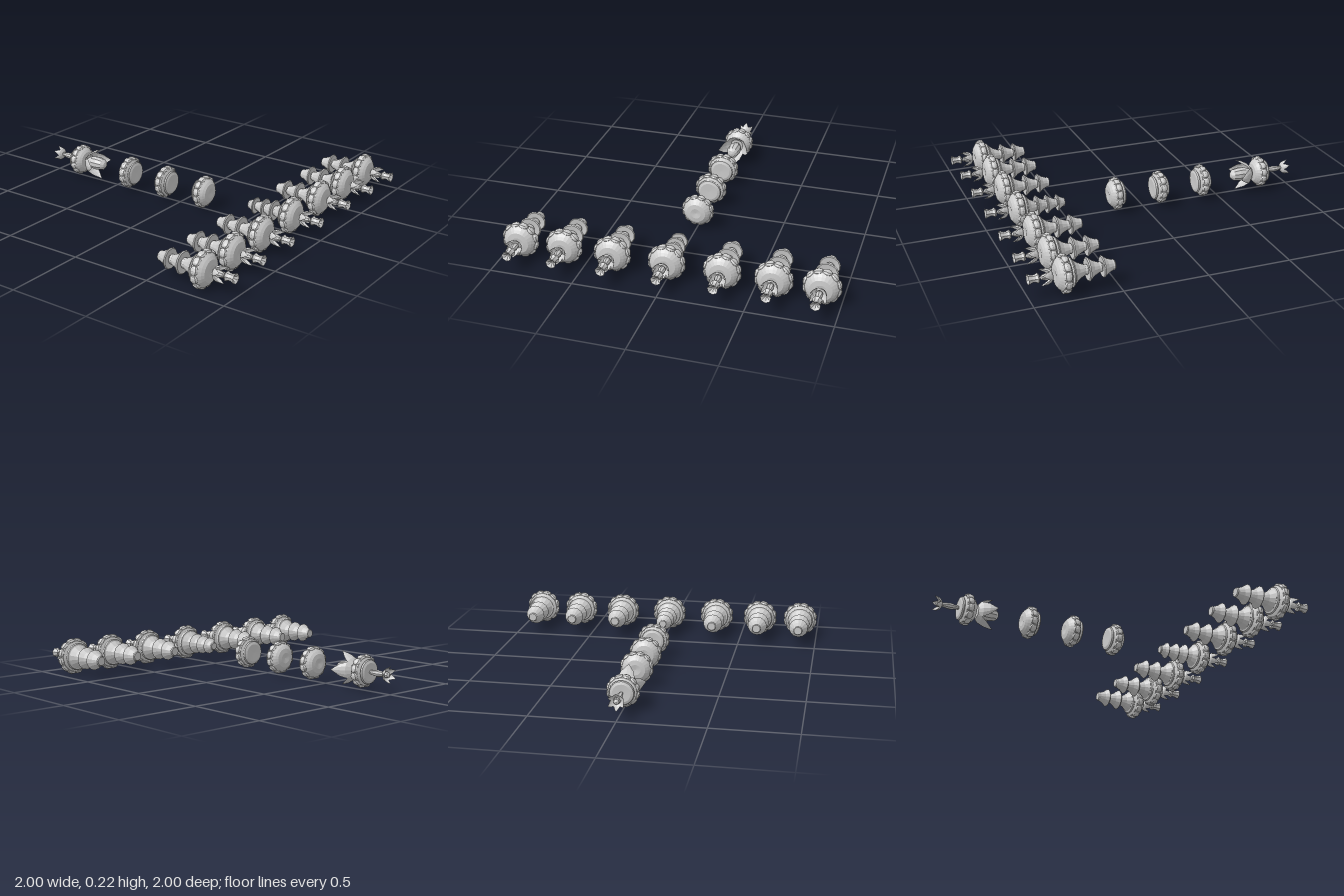
import * as THREE from 'three';

const CY = 0.113; // height of every ornament axis
const mat = new THREE.MeshStandardMaterial({ color: 0xcccccc, flatShading: true, side: THREE.DoubleSide });

function add(parent, name, geometry) {
  const mesh = new THREE.Mesh(geometry, mat);
  mesh.name = name;
  parent.add(mesh);
  return mesh;
}

// Turned form along z; profile is [radius, z] with z rising
function turned(profile, sides) {
  return new THREE.LatheGeometry(profile.map(([r, z]) => new THREE.Vector2(r, z)), sides).rotateX(Math.PI / 2);
}

// Curved petal following [radius, z, halfWidth] stations, cupped across its width
function petalGeometry(stations, cup) {
  const n = stations.length - 1;
  const g = new THREE.PlaneGeometry(2, 1, 4, n);
  const p = g.attributes.position;
  for (let i = 0; i < p.count; i++) {
    const u = p.getX(i);
    const [r, z, w] = stations[Math.round((p.getY(i) + 0.5) * n)];
    p.setXYZ(i, u * w, r - cup * w * u * u, z);
  }
  return g;
}

function petals(parent, name, count, stations, cup) {
  const group = new THREE.Group();
  group.name = name;
  const g = petalGeometry(stations, cup);
  for (let i = 0; i < count; i++) {
    add(group, 'petal', g).rotation.z = (i * 2 * Math.PI) / count;
  }
  parent.add(group);
  return group;
}

// Scalloped disc: turned body with a ring of cushions round the rim
function disc(parent, name, radius, z, flip = 1) {
  const group = new THREE.Group();
  group.name = name;
  const k = radius / 0.11;
  add(group, 'discBody', turned([
    [0, -0.05], [0.06, -0.052], [0.078, -0.046], [0.083, -0.038], [0.074, -0.031],
    [0.094, -0.022], [0.102, 0], [0.094, 0.022], [0.08, 0.036], [0.064, 0.047], [0.035, 0.051], [0, 0.046],
  ].map(([r, h]) => [r * k, h]), 24));
  const cushion = new THREE.SphereGeometry(1, 8, 6);
  for (let i = 0; i < 12; i++) {
    const a = ((i + 0.5) * Math.PI) / 6;
    const m = add(group, 'rimCushion', cushion);
    m.scale.set(0.017 * k, 0.0275 * k, 0.025);
    m.position.set(Math.cos(a) * 0.095 * k, Math.sin(a) * 0.095 * k, 0);
    m.rotation.z = a;
  }
  group.position.z = z;
  if (flip < 0) group.rotation.y = Math.PI;
  parent.add(group);
}

// Flared skirts, [back z, back radius, front z, front radius]
function skirts(parent, tiers) {
  for (const [z0, r0, z1, r1] of tiers) {
    const d = z1 - z0;
    add(parent, 'skirtTier', turned([
      [0, z0], [r0 * 0.85, z0], [r0, z0 + d * 0.08], [r0, z0 + d * 0.2],
      [r0 + (r1 - r0) * 0.4, z0 + d * 0.6], [r1, z0 + d * 0.93], [r1 * 0.92, z1], [r0 * 0.7, z1 - d * 0.05],
    ], 14));
  }
}

function frontOrnament(x, tiers) {
  const g = new THREE.Group();
  g.name = 'frontOrnament';
  skirts(g, tiers);
  disc(g, 'frontDisc', 0.111, 0.80);
  // Drooping blossom ahead of the disc
  petals(g, 'frontBlossom', 6, [
    [0.004, 0.861, 0.005], [0.022, 0.863, 0.014], [0.038, 0.875, 0.02], [0.047, 0.895, 0.018], [0.052, 0.925, 0.002],
  ], 0.3);
  add(g, 'blossomBud', turned([[0, 0.862], [0.018, 0.872], [0.022, 0.895], [0.014, 0.922], [0, 0.932]], 8));
  // Small trumpet at the tip
  add(g, 'trumpet', turned([
    [0, 0.938], [0.022, 0.936], [0.03, 0.945], [0.022, 0.957], [0.021, 0.975], [0.031, 1.0], [0.02, 0.992], [0, 0.97],
  ], 7));
  g.position.set(x, CY, 0);
  return g;
}

export function createModel() {
  const model = new THREE.Group();
  model.name = 'ornaments';

  // Front row, the middle ornament has four slimmer tiers
  const three = [[0.51, 0.03, 0.585, 0.062], [0.585, 0.029, 0.67, 0.068], [0.665, 0.03, 0.755, 0.071]];
  const four = [[0.51, 0.026, 0.56, 0.052], [0.56, 0.027, 0.627, 0.059], [0.62, 0.029, 0.69, 0.065], [0.685, 0.031, 0.755, 0.071]];
  for (const x of [-0.89, -0.62, -0.325, 0, 0.325, 0.62, 0.89]) {
    model.add(frontOrnament(x, x === 0 ? four : three));
  }

  // Line of discs behind the middle ornament
  const column = new THREE.Group();
  column.name = 'rearColumn';
  column.position.y = CY;
  model.add(column);
  disc(column, 'looseDisc', 0.1, 0.18);
  disc(column, 'looseDisc', 0.1, -0.11, -1);
  disc(column, 'looseDisc', 0.1, -0.395, -1);
  disc(column, 'rearDisc', 0.096, -0.80, 1);

  // Large open flower with a bud
  petals(column, 'rearFlower', 4, [
    [0.008, -0.74, 0.012], [0.04, -0.738, 0.036], [0.066, -0.715, 0.048], [0.086, -0.68, 0.036], [0.1, -0.635, 0.002],
  ], 0.35);
  add(column, 'rearBud', turned([
    [0, -0.74], [0.025, -0.735], [0.04, -0.7], [0.043, -0.66], [0.036, -0.62], [0.02, -0.603], [0, -0.598],
  ], 10));

  // Stem and small end blossom
  add(column, 'rearStem', turned([
    [0, -0.966], [0.011, -0.96], [0.017, -0.93], [0.02, -0.905], [0.016, -0.875], [0.01, -0.848], [0, -0.845],
  ], 8));
  petals(column, 'endBlossom', 6, [
    [0.003, -0.957, 0.004], [0.02, -0.958, 0.014], [0.034, -0.968, 0.019], [0.041, -0.98, 0.015], [0.05, -1.0, 0.002],
  ], 0.3);
  add(column, 'endBud', turned([[0, -0.994], [0.016, -0.986], [0.02, -0.97], [0, -0.957]], 8));
  return model;
}
